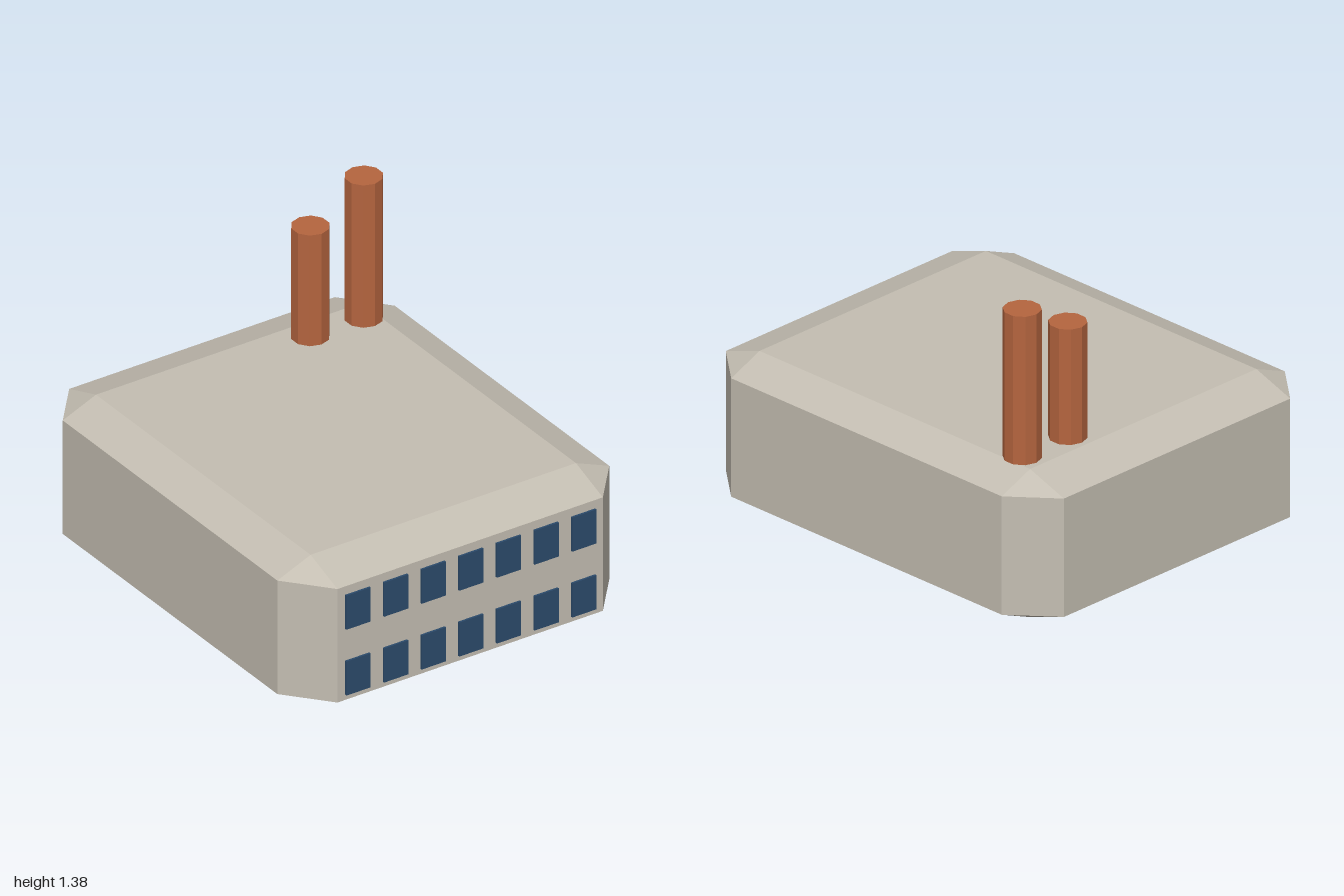
import * as THREE from 'three';
import { ConvexGeometry } from 'three/addons/geometries/ConvexGeometry.js';

const material = (color) => new THREE.MeshStandardMaterial({ color, flatShading: true });

// Box with every edge chamfered; half = half sizes, cut = chamfer depth per axis
function chamferedBox(half, cut) {
  const points = [];
  for (const sx of [-1, 1]) for (const sy of [-1, 1]) for (const sz of [-1, 1]) {
    const signs = [sx, sy, sz];
    // each corner is replaced by three points, one on each outer face
    for (let face = 0; face < 3; face++) {
      const p = signs.map((s, i) => s * (i === face ? half[i] : half[i] - cut[i]));
      points.push(new THREE.Vector3(...p));
    }
  }
  return new ConvexGeometry(points);
}

export function createModel() {
  const model = new THREE.Group();
  model.name = 'factory';

  const add = (name, geometry, mat, x, y, z) => {
    const mesh = new THREE.Mesh(geometry, mat);
    mesh.name = name;
    mesh.position.set(x, y, z);
    model.add(mesh);
  };

  const wall = material(0xc4beb2);
  const glass = material(0x2b4a6b);
  const brick = material(0xb5653f);

  // Main hall
  add('building', chamferedBox([0.838, 0.344, 0.995], [0.168, 0.069, 0.199]), wall, 0, 0.344, -0.005);

  // Two rows of windows on the front wall
  const pane = new THREE.BoxGeometry(0.122, 0.165, 0.02);
  [0.177, 0.496].forEach((y, row) => {
    for (let i = 0; i < 7; i++) {
      add(`window${row + 1}_${i + 1}`, pane, glass, (i - 3) * 0.19, y, 0.99);
    }
  });

  // Chimneys at the back left corner, standing on the roof
  const roof = 0.688;
  [['shortChimney', 0.34, 1.224], ['tallChimney', 0.61, 1.377]].forEach(([name, x, top]) => {
    const height = top - roof;
    add(name, new THREE.CylinderGeometry(0.083, 0.083, height, 10), brick, x, roof + height / 2, -0.695);
  });

  return model;
}
